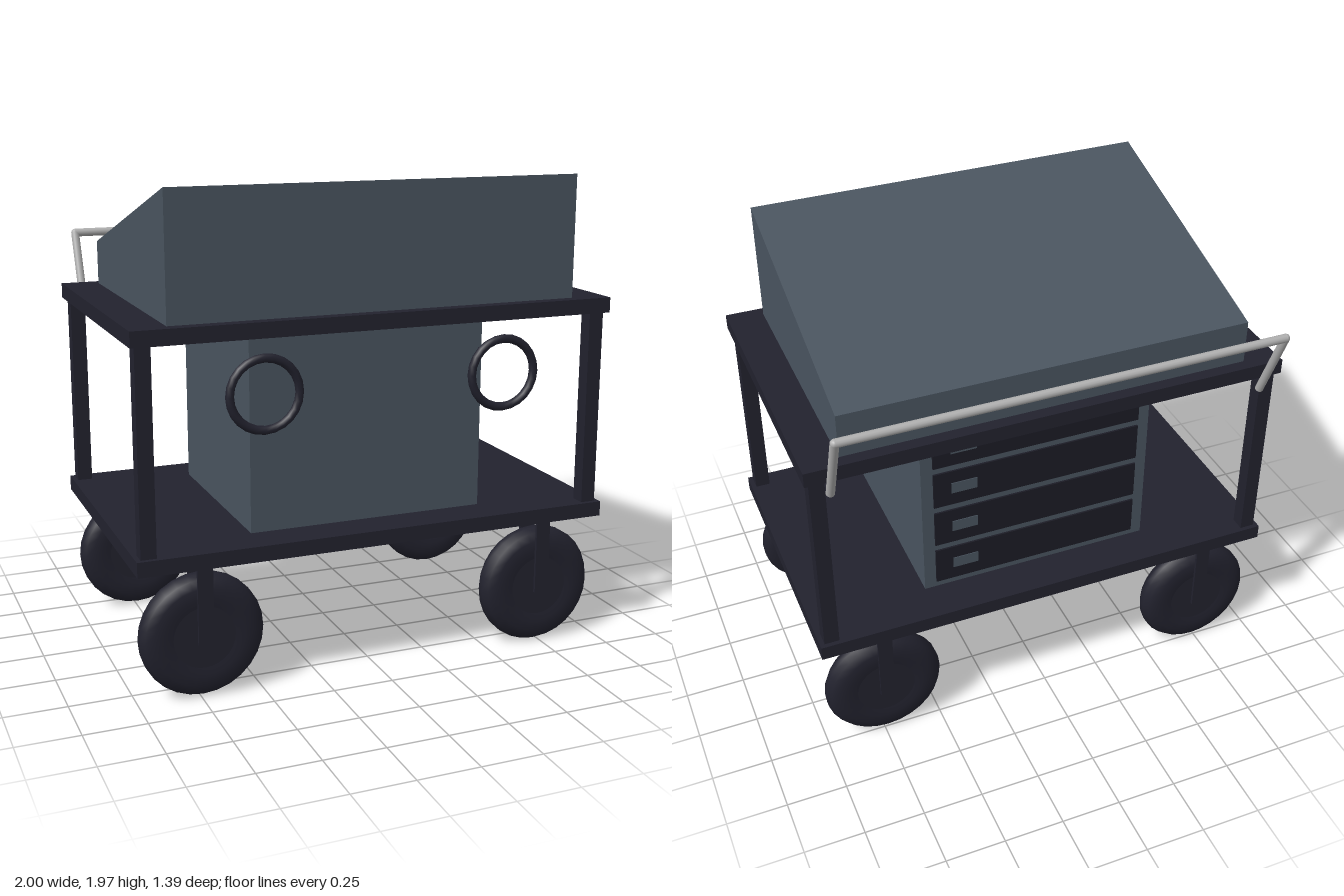
import * as THREE from 'three';

const material = (name, color) => {
  const m = new THREE.MeshStandardMaterial({ color });
  m.name = name;
  return m;
};

export function createModel() {
  const root = new THREE.Group();
  root.name = 'equipmentCart';
  const panel = material('slate panel', 0x4a5560);
  const dark = material('dark frame', 0x22222e);
  const drawerDark = material('drawer face', 0x1c1c26);
  const metal = material('handle metal', 0xb0b0b0);
  const zMid = 0.053; // middle of the cart body

  const add = (name, geometry, mat, x = 0, y = 0, z = 0, parent = root) => {
    const mesh = new THREE.Mesh(geometry, mat);
    mesh.name = name;
    mesh.position.set(x, y, z);
    parent.add(mesh);
    return mesh;
  };
  const box = (name, w, h, d, mat, x, y, z, parent) =>
    add(name, new THREE.BoxGeometry(w, h, d), mat, x, y, z, parent);

  // Shelves and corner posts
  box('upperShelf', 2, 0.062, 1.2, dark, 0, 1.44, zMid);
  box('lowerShelf', 2, 0.062, 1.2, dark, 0, 0.57, zMid);
  for (const x of [-0.95, 0.95])
    for (const s of [-1, 1])
      box('cornerPost', 0.062, 0.81, 0.062, dark, x, 1.005, zMid + s * 0.55);

  // Sloped housing: side profile extruded across the width
  const profile = new THREE.Shape([
    new THREE.Vector2(-0.603, 1.471), new THREE.Vector2(0.495, 1.471),
    new THREE.Vector2(0.495, 1.653), new THREE.Vector2(-0.603, 1.97),
  ]);
  const housing = new THREE.ExtrudeGeometry(profile, { depth: 1.7, bevelEnabled: false });
  housing.translate(0, 0, -0.85).rotateY(Math.PI / 2);
  add('slopedHousing', housing, panel);

  // Cabinet with drawers on its back face
  box('cabinet', 1, 0.81, 0.866, panel, 0, 1.005, 0.06);
  for (let i = 0; i < 4; i++) {
    const y = 0.7125 + i * 0.195;
    box('drawer', 0.9, 0.165, 0.008, drawerDark, 0, y, -0.377);
    box('drawerLabel', 0.11, 0.05, 0.004, panel, 0.32, y, -0.382);
  }

  // Front rings
  for (const x of [-0.5, 0.5])
    add('frontRing', new THREE.TorusGeometry(0.138, 0.0175, 8, 24), dark, x, 1.203, 0.675);

  // Wheels with a fork plate on each side
  const tyreProfile = [
    [0.125, -0.05], [0.16, -0.055], [0.2, -0.053], [0.235, -0.04], [0.25, -0.014],
    [0.25, 0.014], [0.235, 0.04], [0.2, 0.053], [0.16, 0.055], [0.125, 0.05],
  ].map(([r, h]) => new THREE.Vector2(r, h));
  const tyre = new THREE.LatheGeometry(tyreProfile, 28).rotateX(Math.PI / 2);
  const hub = new THREE.CylinderGeometry(0.126, 0.126, 0.1, 28).rotateX(Math.PI / 2);
  for (const x of [-0.735, 0.735])
    for (const s of [-1, 1]) {
      const caster = new THREE.Group();
      caster.name = 'caster';
      caster.position.set(x, 0.25, zMid + s * 0.517);
      root.add(caster);
      add('tyre', tyre, dark, 0, 0, 0, caster);
      add('hub', hub, dark, 0, 0, 0, caster);
      for (const side of [-1, 1])
        box('forkPlate', 0.062, 0.31, 0.012, dark, 0, 0.135, side * 0.068, caster);
    }

  // Tilted push handle
  const rod = (name, a, b) => {
    const dir = b.clone().sub(a);
    const mesh = add(name, new THREE.CylinderGeometry(0.0175, 0.0175, dir.length(), 12), metal);
    mesh.position.copy(a).lerp(b, 0.5);
    mesh.quaternion.setFromUnitVectors(new THREE.Vector3(0, 1, 0), dir.normalize());
  };
  const corner = (s) => new THREE.Vector3(s * 0.905, 1.672, -0.678);
  for (const s of [-1, 1]) {
    rod('handleArm', new THREE.Vector3(s * 0.905, 1.357, -0.547), corner(s));
    add('handleCorner', new THREE.SphereGeometry(0.0175, 12, 8), metal, ...corner(s).toArray());
  }
  rod('handleBar', corner(-1), corner(1));

  return root;
}
